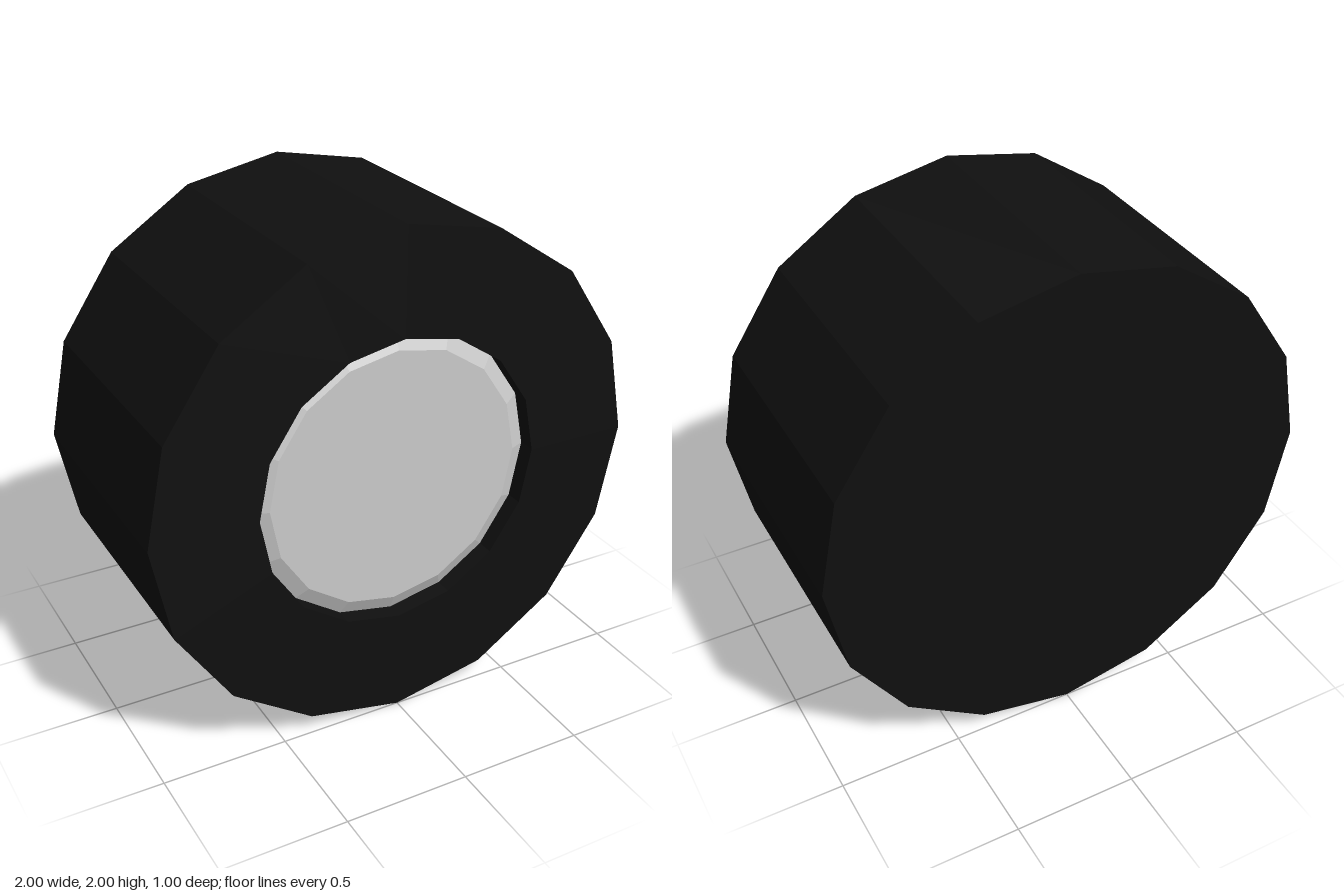
import * as THREE from 'three';

const SIDES = 16;

// Turns a [radius, z] profile around the wheel's z axis, faceted
function turned(name, profile, color) {
  const points = profile.map(([r, z]) => new THREE.Vector2(r, z));
  const geometry = new THREE.LatheGeometry(points, SIDES);
  geometry.rotateX(Math.PI / 2);
  const material = new THREE.MeshStandardMaterial({ color, flatShading: true });
  const mesh = new THREE.Mesh(geometry, material);
  mesh.name = name;
  return mesh;
}

export function createModel() {
  const wheel = new THREE.Group();
  wheel.name = 'wheel';

  // Tyre: closed flat back, square tread, shallow round recess in the front
  const tyre = turned('tyre', [
    [0, -0.5], [1, -0.5], [1, 0.5], [0.58, 0.5], [0.58, 0.42],
  ], 0x101010);

  // Hub cap: bevelled disc set just inside the recess
  const hubCap = turned('hubCap', [
    [0.58, 0.42], [0.58, 0.43], [0.52, 0.457], [0, 0.457],
  ], 0xcccccc);

  wheel.add(tyre, hubCap);
  wheel.position.y = 1;

  const model = new THREE.Group();
  model.add(wheel);
  return model;
}
